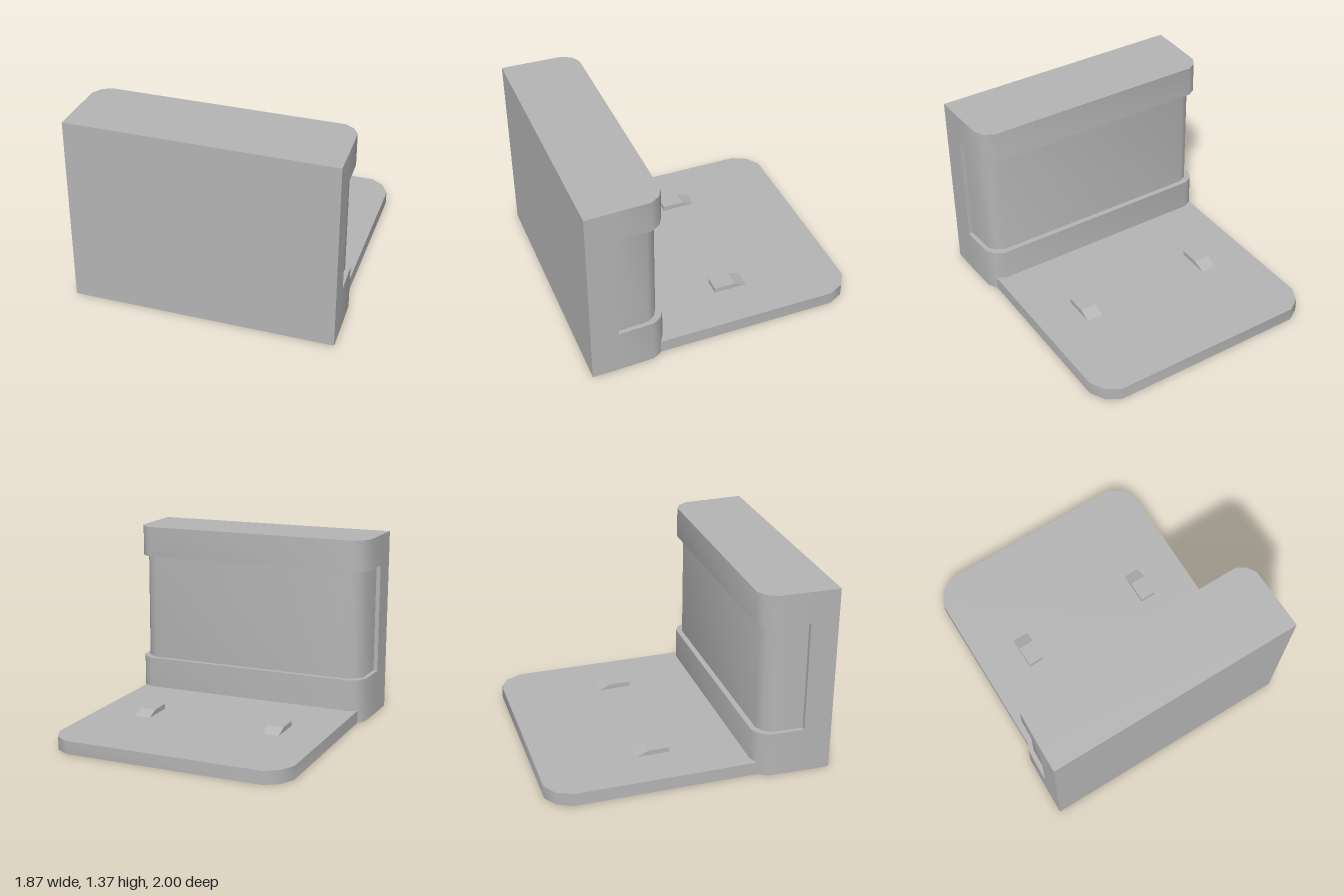
import * as THREE from 'three';
import { toCreasedNormals } from 'three/addons/utils/BufferGeometryUtils.js';

const grey = new THREE.MeshStandardMaterial({ color: 0xb4b4b4 });
grey.name = 'plain grey';

// Extrude a mirrored plan outline (right half as [x, z], front to back) between two heights.
function slab(name, half, y0, y1) {
  const right = half.map(([x, z]) => new THREE.Vector2(x, -z));
  const left = half.map(([x, z]) => new THREE.Vector2(-x, -z)).reverse();
  const geometry = new THREE.ExtrudeGeometry(new THREE.Shape([...right, ...left]), {
    depth: y1 - y0, bevelEnabled: false,
  });
  geometry.rotateX(-Math.PI / 2).translate(0, y0, 0);
  const mesh = new THREE.Mesh(toCreasedNormals(geometry, 0.62), grey);
  mesh.name = name;
  return mesh;
}

// Small wedge-ended catch, profile in z and y, centred on x.
function catchBlock(name, x) {
  const width = 0.12;
  const profile = [[-0.305, 0.093], [-0.055, 0.093], [-0.055, 0.132], [-0.21, 0.132]];
  const geometry = new THREE.ExtrudeGeometry(
    new THREE.Shape(profile.map(([z, y]) => new THREE.Vector2(z, y))),
    { depth: width, bevelEnabled: false },
  );
  geometry.rotateY(-Math.PI / 2).translate(x + width / 2, 0, 0);
  const mesh = new THREE.Mesh(geometry, grey);
  mesh.name = name;
  return mesh;
}

export function createModel() {
  const model = new THREE.Group();
  model.name = 'bracket';

  // Upright block with a recess wrapping round its back and sides
  const outer = [[0.935, 1], [0.931, 0.8], [0.922, 0.55], [0.882, 0.485], [0.82, 0.45]];
  const recessed = [[0.935, 1], [0.931, 0.8], [0.9, 0.8], [0.89, 0.575], [0.85, 0.52], [0.79, 0.49]];
  model.add(slab('lowerBand', outer, 0, 0.33));
  model.add(slab('recessedPanel', recessed, 0.33, 1.14));
  model.add(slab('upperBand', outer, 1.14, 1.37));

  // Base plate with rounded rear corners
  const plate = [[0.882, 0.49], [0.882, -0.83], [0.827, -0.94], [0.73, -1]];
  model.add(slab('basePlate', plate, 0, 0.095));

  // Pair of catches on the plate
  model.add(catchBlock('leftCatch', 0.505), catchBlock('rightCatch', -0.505));
  return model;
}
